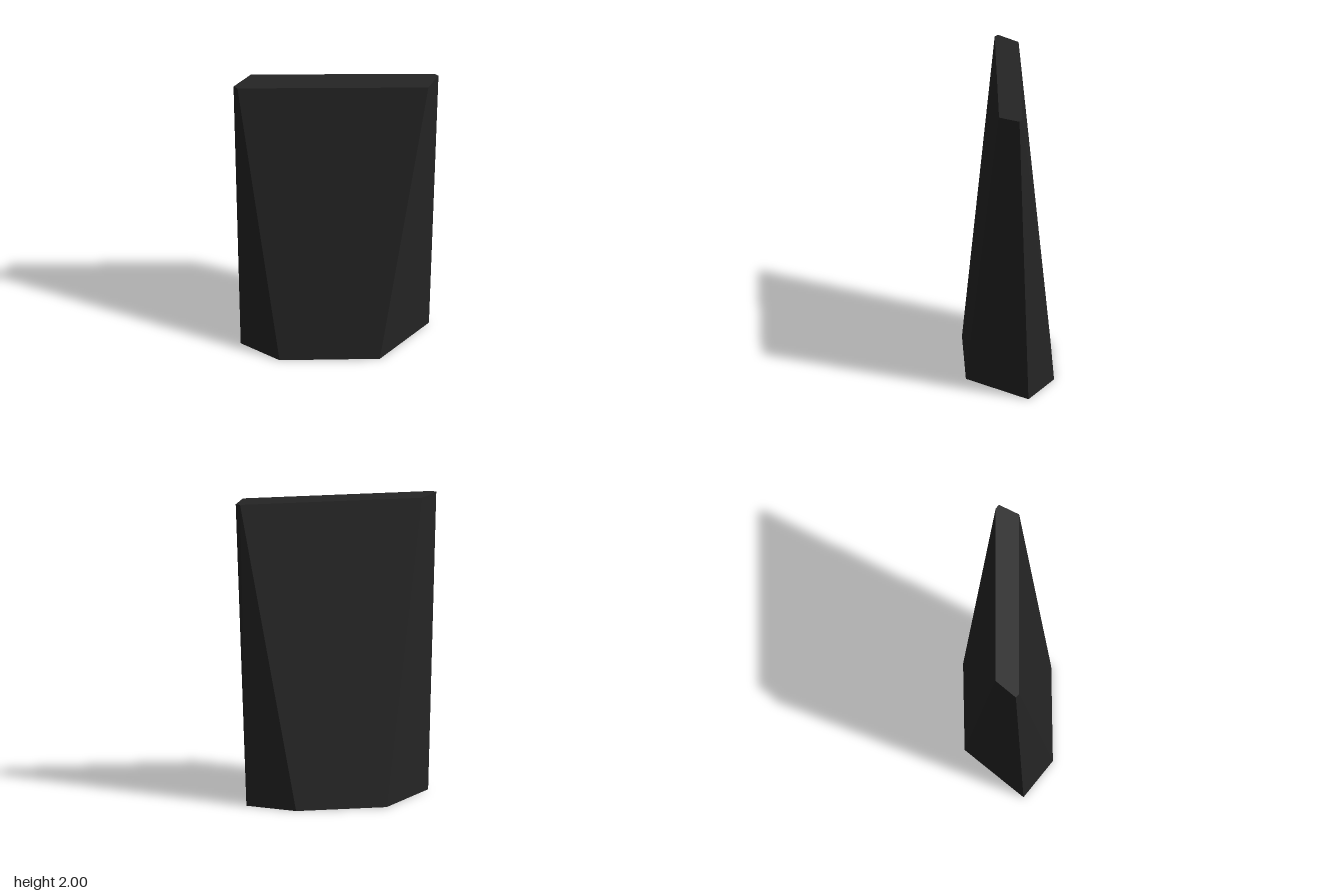
import * as THREE from 'three';

// Six-sided sections [x, z]: left tip, front pair, right tip, back pair
const BASE = [[-0.615, 0.09], [-0.37, 0.283], [0.275, 0.283], [0.6, -0.107], [0.305, -0.283], [-0.285, -0.283]];
const TOP = [[-0.66, 0.04], [-0.635, 0.062], [0.592, 0.082], [0.66, -0.047], [0.635, -0.068], [-0.545, -0.088]];

// Joins two sections into a closed, faceted solid
function loft(lower, upper, height) {
  const n = lower.length;
  const vertices = [
    ...lower.flatMap(([x, z]) => [x, 0, z]),
    ...upper.flatMap(([x, z]) => [x, height, z]),
  ];
  const index = [];
  for (let i = 0; i < n; i++) {
    const j = (i + 1) % n;
    index.push(i, j, n + j, i, n + j, n + i);
  }
  // end caps
  for (let i = 1; i < n - 1; i++) {
    index.push(n, n + i, n + i + 1, 0, i + 1, i);
  }
  const indexed = new THREE.BufferGeometry();
  indexed.setAttribute('position', new THREE.Float32BufferAttribute(vertices, 3));
  indexed.setIndex(index);
  const geometry = indexed.toNonIndexed();
  geometry.computeVertexNormals();
  return geometry;
}

export function createModel() {
  const group = new THREE.Group();
  group.name = 'taperedSlab';
  const charcoal = new THREE.MeshStandardMaterial({ color: 0x252525, flatShading: true });
  charcoal.name = 'charcoal';

  // Single slab, thick at the foot and narrowing to a thin top
  const slab = new THREE.Mesh(loft(BASE, TOP, 2), charcoal);
  slab.name = 'slab';
  group.add(slab);
  return group;
}
